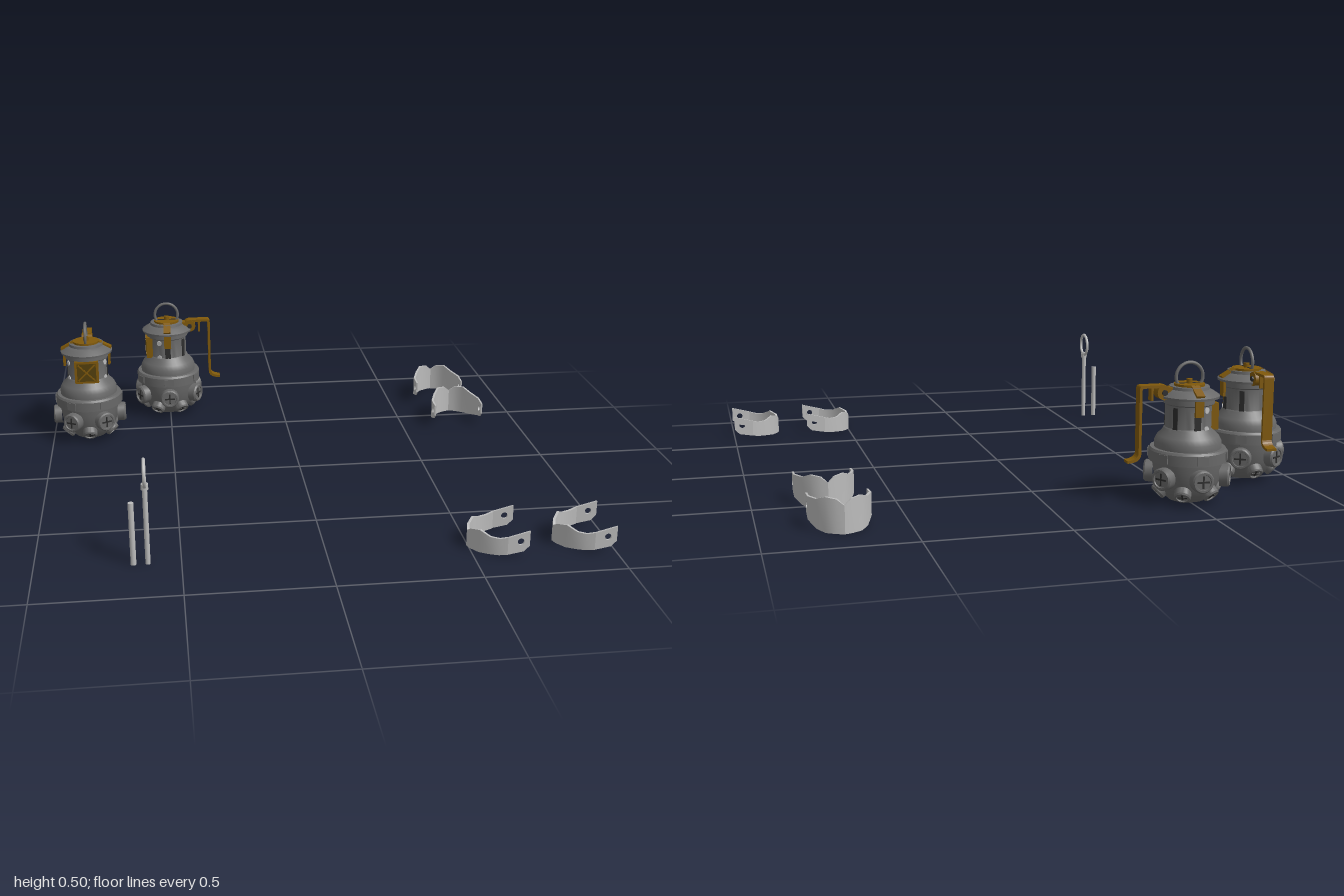
import * as THREE from 'three';
import { toCreasedNormals } from 'three/addons/utils/BufferGeometryUtils.js';

const mat = (name, color, side = THREE.FrontSide) => {
  const m = new THREE.MeshStandardMaterial({ color, side });
  m.name = name;
  return m;
};

export function createModel() {
  const grey = mat('gunmetal', 0x686868);
  const gold = mat('old brass', 0x80590a);
  const silver = mat('bright steel', 0xbcbcbc, THREE.DoubleSide);
  const dark = mat('dark recess', 0x2e2e2e);
  const darkGold = mat('dark brass', 0x54400c);

  const add = (parent, name, geo, material, x = 0, y = 0, z = 0) => {
    const m = new THREE.Mesh(geo, material);
    m.name = name;
    m.position.set(x, y, z);
    parent.add(m);
    return m;
  };
  const lathe = (pts, n = 36) =>
    toCreasedNormals(new THREE.LatheGeometry(pts.map(p => new THREE.Vector2(...p)), n), 0.5);
  const cyl = (r, h, n = 20, r2 = r) => new THREE.CylinderGeometry(r, r2, h, n);
  const box = (x, y, z) => new THREE.BoxGeometry(x, y, z);

  // Round port on the body, pointing outwards and tilted by pitch
  function port(parent, angle, pitch, dist, y, r) {
    const g = new THREE.Group();
    g.name = 'bodyPort';
    g.rotation.y = angle;
    const p = new THREE.Group();
    p.position.set(dist, y, 0);
    p.rotation.z = -Math.PI / 2 - pitch;
    add(p, 'portBarrel', lathe([[r, -0.035], [r, -0.006], [r * 0.88, 0], [r * 0.72, 0], [r * 0.68, -0.005], [0, -0.005]], 18), grey);
    add(p, 'portCross', box(r * 1.1, 0.003, 0.006), dark, 0, -0.004, 0);
    add(p, 'portCross', box(0.006, 0.003, r * 1.1), dark, 0, -0.004, 0);
    g.add(p);
    parent.add(g);
  }

  // Canister with its lever on +x and its vent plate on -x
  function canister(name) {
    const g = new THREE.Group();
    g.name = name;
    add(g, 'lowerBody', lathe([[0, 0.005], [0.065, 0.005], [0.092, 0.03], [0.113, 0.075], [0.121, 0.12], [0.124, 0.15]]), grey);
    add(g, 'band', lathe([[0.12, 0.143], [0.137, 0.147], [0.137, 0.185], [0.132, 0.193], [0.115, 0.193]]), grey);
    add(g, 'shoulderAndNeck', lathe([[0.118, 0.19], [0.118, 0.215], [0.108, 0.235], [0.092, 0.25], [0.086, 0.262],
      [0.082, 0.265], [0.082, 0.345], [0.09, 0.35], [0.09, 0.378]]), grey);
    add(g, 'cap', lathe([[0.088, 0.368], [0.106, 0.37], [0.107, 0.378], [0.085, 0.393], [0.072, 0.4], [0.07, 0.41], [0, 0.41]]), grey);

    for (let i = 0; i < 6; i++) {
      const a = Math.PI / 2 + i * Math.PI / 3;
      port(g, a, 0, 0.151, 0.096, 0.04);
      port(g, a + Math.PI / 6, 0.75, 0.112, 0.03, 0.03);
      // raised clamps on the band
      const c = new THREE.Group();
      c.name = 'bandClamp';
      c.rotation.y = a;
      add(c, 'clampBlock', box(0.012, 0.03, 0.04), grey, 0.134, 0.168, 0);
      g.add(c);
    }

    // Brass cap disc, side straps and pull ring
    add(g, 'capDisc', cyl(0.054, 0.012, 28), gold, 0, 0.412, 0);
    add(g, 'discGroove', box(0.1, 0.002, 0.006), dark, 0, 0.419, 0);
    add(g, 'ringPost', cyl(0.011, 0.022, 14), gold, 0, 0.423, 0);
    add(g, 'pullRing', new THREE.TorusGeometry(0.05, 0.006, 10, 36), grey, 0, 0.441, 0);
    for (const s of [-1, 1]) {
      const top = add(g, 'strapTop', box(0.03, 0.008, 0.06), gold, 0, 0.4, s * 0.077);
      top.rotation.x = s * 0.5;
      add(g, 'strapDrop', box(0.03, 0.07, 0.01), gold, 0, 0.348, s * 0.093);
      add(g, 'sideSlot', box(0.024, 0.05, 0.006), dark, 0, 0.285, s * 0.081);
      // steel studs beside the vent plate
      for (const y of [0.265, 0.332]) {
        const a = s * 0.98;
        const stud = add(g, 'stud', cyl(0.011, 0.008, 14), silver, -0.081 * Math.sin(0.45), y, s * 0.081 * Math.cos(0.45));
        stud.rotation.set(0, a < 0 ? 0.45 : -0.45, 0);
        stud.rotateX(Math.PI / 2);
      }
      // long slots flanking the lever
      const slot = add(g, 'longSlot', box(0.006, 0.08, 0.018), dark, 0.081 * Math.cos(0.6), 0.3, s * 0.081 * Math.sin(0.6));
      slot.rotation.y = -s * 0.6;
    }

    // Vent plate with diagonal grille
    add(g, 'ventPlate', box(0.035, 0.094, 0.098), gold, -0.075, 0.305, 0);
    add(g, 'ventRecess', box(0.003, 0.076, 0.078), darkGold, -0.093, 0.305, 0);
    for (const s of [-1, 1]) for (let i = -1; i <= 1; i++) {
      const bar = add(g, 'ventBar', box(0.003, i ? 0.058 : 0.092, 0.006), gold, -0.095, 0.305 + s * i * 0.014, i * 0.014);
      bar.rotation.x = s * Math.PI / 4;
    }

    // Lever: arm over the cap, hinge, and a bent strip hanging down
    add(g, 'leverArm', box(0.08, 0.012, 0.036), gold, 0.068, 0.402, 0);
    const hinge = add(g, 'hinge', cyl(0.026, 0.044, 20), gold, 0.1, 0.391, 0);
    hinge.rotation.x = Math.PI / 2;
    const pin = add(g, 'hingePin', cyl(0.01, 0.056, 12), dark, 0.1, 0.391, 0);
    pin.rotation.x = Math.PI / 2;
    add(g, 'leverLink', box(0.008, 0.055, 0.03), gold, 0.142, 0.39, 0);
    const s = new THREE.Shape();
    s.moveTo(0.1, 0.418);
    s.lineTo(0.178, 0.418);
    s.quadraticCurveTo(0.19, 0.418, 0.19, 0.404);
    s.lineTo(0.19, 0.178);
    s.quadraticCurveTo(0.194, 0.157, 0.23, 0.155);
    s.lineTo(0.23, 0.146);
    s.quadraticCurveTo(0.182, 0.146, 0.18, 0.176);
    s.lineTo(0.18, 0.402);
    s.quadraticCurveTo(0.18, 0.408, 0.174, 0.408);
    s.lineTo(0.1, 0.408);
    const strip = new THREE.ExtrudeGeometry(s, { depth: 0.038, bevelEnabled: false, curveSegments: 6 });
    add(g, 'leverStrip', strip, gold, 0, 0, -0.019);
    return g;
  }

  // Curved clip opening towards +x; path rows are [x, z, bottom, top]
  function clip(name, half, lugEnd, lugLow, lugHigh) {
    const g = new THREE.Group();
    g.name = name;
    const rows = [...half.slice(1).reverse().map(([x, z, b, t]) => [x, -z, b, t]), ...half];
    const pos = [], idx = [], w = 0.009;
    rows.forEach(([x, z, b, t], i) => {
      const p = rows[Math.max(i - 1, 0)], n = rows[Math.min(i + 1, rows.length - 1)];
      const dx = n[0] - p[0], dz = n[1] - p[1], l = Math.hypot(dx, dz);
      const ix = x + dz / l * w, iz = z - dx / l * w;
      pos.push(x, b, z, x, t, z, ix, t, iz, ix, b, iz);
      if (i) for (let k = 0; k < 4; k++) {
        const a = (i - 1) * 4 + k, c = (i - 1) * 4 + (k + 1) % 4;
        idx.push(a, a + 4, c, c, a + 4, c + 4);
      }
    });
    const geo = new THREE.BufferGeometry();
    geo.setAttribute('position', new THREE.Float32BufferAttribute(pos, 3));
    geo.setIndex(idx);
    add(g, 'clipBand', toCreasedNormals(geo, 0.6), silver);

    // Flat end lugs with a hole
    const [x0, z0, b0, t0] = half[half.length - 1];
    const s = new THREE.Shape();
    s.moveTo(x0, b0);
    s.lineTo(lugEnd - 0.02, lugLow);
    s.lineTo(lugEnd, lugLow + 0.02);
    s.lineTo(lugEnd, lugHigh);
    s.lineTo(x0, t0);
    const hole = new THREE.Path();
    hole.absarc(lugEnd - 0.032, (lugLow + lugHigh) / 2, 0.012, 0, Math.PI * 2, true);
    s.holes.push(hole);
    const lug = new THREE.ExtrudeGeometry(s, { depth: 0.007, bevelEnabled: false, curveSegments: 10 });
    add(g, 'clipLug', lug, silver, 0, 0, z0 - 0.007);
    add(g, 'clipLug', lug, silver, 0, 0, -z0);
    return g;
  }

  const model = new THREE.Group();
  model.name = 'canisterSet';

  const first = canister('leftCanister');
  first.position.set(-0.845, 0, -0.47);
  first.rotation.y = Math.PI / 2;
  const second = canister('rearCanister');
  second.position.set(-0.503, 0, -0.733);
  model.add(first, second);

  // Front pair of clips
  const wide = [[0, 0, 0, 0.06], [0.006, 0.022, 0, 0.075], [0.03, 0.057, 0, 0.085], [0.06, 0.084, 0.004, 0.07],
    [0.09, 0.1, 0.006, 0.068], [0.118, 0.108, 0.01, 0.075]];
  for (const x of [0.495, 0.805]) {
    const c = clip('frontClip', wide, 0.195, 0.02, 0.095);
    c.position.set(x, 0, 0.763);
    model.add(c);
  }
  // Rear pair of clips, turned to open forwards
  const tall = [[0, 0, 0, 0.095], [0.008, 0.025, 0, 0.115], [0.03, 0.06, 0, 0.12], [0.07, 0.085, 0.005, 0.105],
    [0.13, 0.106, 0.02, 0.1]];
  for (const [x, z] of [[0.725, -0.86], [0.742, -0.56]]) {
    const c = clip('rearClip', tall, 0.192, 0.03, 0.095);
    c.position.set(x, 0, z);
    c.rotation.y = -Math.PI / 2;
    model.add(c);
  }

  // Loose pins
  add(model, 'shortPin', cyl(0.01, 0.23, 14), silver, -0.663, 0.115, 0.765);
  add(model, 'ringPin', cyl(0.009, 0.3, 14), silver, -0.614, 0.15, 0.765);
  add(model, 'pinHead', cyl(0.013, 0.02, 14), silver, -0.614, 0.287, 0.765);
  const ring = add(model, 'pinRing', new THREE.TorusGeometry(0.046, 0.006, 10, 36), silver, -0.614, 0.336, 0.765);
  ring.rotation.y = Math.PI / 2;
  return model;
}
